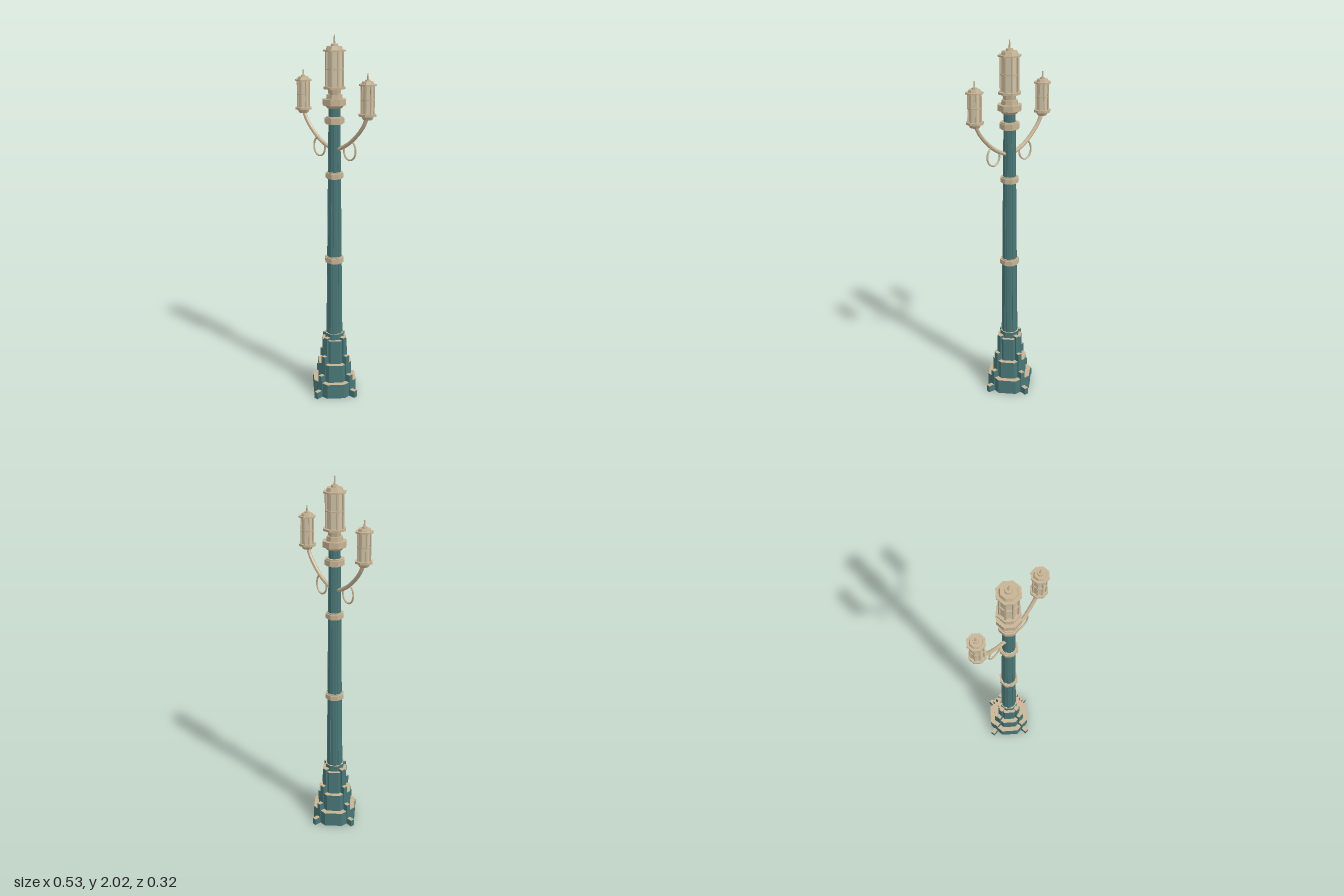
import * as THREE from 'three';

const green = new THREE.MeshStandardMaterial({ color: 0x4a7777, flatShading: true, name: 'paintedGreen' });
const tan = new THREE.MeshStandardMaterial({ color: 0xc6b394, flatShading: true, name: 'bronzeTan' });
const glass = new THREE.MeshStandardMaterial({ color: 0xcfc3a8, flatShading: true, name: 'paleGlass' });

const COS = Math.cos(Math.PI / 8);

function add(parent, name, geometry, material, x = 0, y = 0, z = 0) {
  const mesh = new THREE.Mesh(geometry, material);
  mesh.name = name;
  mesh.position.set(x, y, z);
  parent.add(mesh);
  return mesh;
}

// Octagonal prism with flats on the axes; sizes are half widths across flats
function octagon(parent, name, y0, y1, low, high, material) {
  const g = new THREE.CylinderGeometry(high / COS, low / COS, y1 - y0, 8, 1, false, Math.PI / 8);
  return add(parent, name, g, material, 0, (y0 + y1) / 2, 0);
}

// Tapered shaft: octagon with a shallow groove along every corner
function shaftGeometry(y0, y1, r0, r1) {
  const pos = [], idx = [];
  const section = [[-0.3, 1.035], [0.3, 1.035], [0.36, 0.95], [0.64, 0.95]];
  const n = 32;
  for (const [y, r] of [[y0, r0], [y1, r1]]) {
    for (let i = 0; i < 8; i++) {
      for (const [t, s] of section) {
        const a = (i + t) * Math.PI / 4;
        pos.push(Math.sin(a) * r * s, y, Math.cos(a) * r * s);
      }
    }
  }
  for (let i = 0; i < n; i++) {
    const j = (i + 1) % n;
    idx.push(i, j, n + j, i, n + j, n + i);
  }
  const g = new THREE.BufferGeometry();
  g.setAttribute('position', new THREE.Float32BufferAttribute(pos, 3));
  g.setIndex(idx);
  g.computeVertexNormals();
  return g;
}

// Lantern with its origin at the bottom of the glass; r is the frame half width
function lantern(name, r, h, rim) {
  const group = new THREE.Group();
  group.name = name;
  octagon(group, 'glassPanes', 0, h, r * 0.88, r * 0.88, glass);
  for (let i = 0; i < 8; i++) {
    const a = (i + 0.5) * Math.PI / 4;
    const d = r * 0.98;
    const post = add(group, 'cornerPost', new THREE.BoxGeometry(r * 0.2, h, r * 0.2), tan,
      Math.sin(a) * d, h / 2, Math.cos(a) * d);
    post.rotation.y = a;
  }
  // Bottom, middle and top rims
  octagon(group, 'bottomRim', -0.004, 0.008, rim, rim, tan);
  octagon(group, 'middleRim', h * 0.5 - 0.003, h * 0.5 + 0.003, r * 1.03, r * 1.03, tan);
  octagon(group, 'topRim', h - 0.008, h, rim, rim, tan);
  // Stepped roof and finial
  octagon(group, 'roof', h, h + r * 0.4, r * 0.92, r * 0.8, tan);
  octagon(group, 'roofCap', h + r * 0.4, h + r * 0.65, r * 0.4, r * 0.36, tan);
  add(group, 'finial', new THREE.CylinderGeometry(0.003, 0.005, r, 8), tan, 0, h + r * 1.1, 0);
  return group;
}

export function createModel() {
  const model = new THREE.Group();
  model.name = 'lampPost';

  // Stepped octagonal base with light upper ledges
  const tiers = [[0, 0.085, 0.12], [0.085, 0.19, 0.092], [0.19, 0.33, 0.067], [0.33, 0.365, 0.05]];
  for (const [y0, y1, r] of tiers) octagon(model, 'baseTier', y0, y1, r, r, [green, tan, green]);

  // Four stepped buttresses around the base
  const steps = [[0, 0.04, 0.16], [0.04, 0.128, 0.125], [0.128, 0.238, 0.098], [0.238, 0.345, 0.077]];
  const boxColours = [green, green, tan, green, green, green];
  for (let i = 0; i < 4; i++) {
    const buttress = new THREE.Group();
    buttress.name = 'buttress';
    buttress.rotation.y = i * Math.PI / 2;
    for (const [y0, y1, reach] of steps) {
      add(buttress, 'buttressStep', new THREE.BoxGeometry(0.024, y1 - y0, reach - 0.03), boxColours,
        0, (y0 + y1) / 2, (reach + 0.03) / 2);
    }
    model.add(buttress);
  }

  // Shaft and collars
  add(model, 'shaft', shaftGeometry(0.36, 1.66, 0.0445, 0.0305), green);
  for (const [y0, y1, r] of [[0.79, 0.816, 0.05], [1.268, 1.293, 0.047], [1.563, 1.59, 0.051]]) {
    octagon(model, 'collar', y0, y1, r, r, tan);
    octagon(model, 'collarLip', y0 - 0.006, y1 + 0.006, r - 0.007, r - 0.007, tan);
  }

  // Capital under the main lantern
  octagon(model, 'capitalNeck', 1.64, 1.656, 0.037, 0.05, tan);
  octagon(model, 'capital', 1.656, 1.688, 0.06, 0.06, tan);
  octagon(model, 'capitalStep', 1.688, 1.712, 0.042, 0.04, tan);
  octagon(model, 'lanternNeck', 1.712, 1.745, 0.031, 0.036, tan);

  const main = lantern('mainLantern', 0.047, 0.195, 0.057);
  main.position.y = 1.745;
  model.add(main);

  // Side arms with scrolls and small lanterns
  for (const side of [1, -1]) {
    const arm = new THREE.Group();
    arm.name = side > 0 ? 'leftArm' : 'rightArm';
    const path = [[0.015, 1.422], [0.05, 1.434], [0.1, 1.462], [0.155, 1.51], [0.197, 1.562], [0.218, 1.605]]
      .map(([x, y]) => new THREE.Vector3(side * x, y, 0));
    add(arm, 'armTube', new THREE.TubeGeometry(new THREE.CatmullRomCurve3(path), 24, 0.0105, 8), tan);

    const scroll = [];
    for (let i = 0; i <= 16; i++) {
      const a = 2.45 + i / 16 * 5.35;
      const ry = i < 12 ? 0.05 : 0.054;
      scroll.push(new THREE.Vector3(side * (0.106 + 0.04 * Math.cos(a)), 1.424 + ry * Math.sin(a), 0));
    }
    add(arm, 'scroll', new THREE.TubeGeometry(new THREE.CatmullRomCurve3(scroll), 40, 0.005, 6), tan);

    const lamp = lantern('sideLantern', 0.034, 0.158, 0.043);
    octagon(lamp, 'lanternCup', -0.022, -0.004, 0.023, 0.032, tan);
    lamp.position.set(side * 0.222, 1.62, 0);
    arm.add(lamp);
    model.add(arm);
  }
  return model;
}
